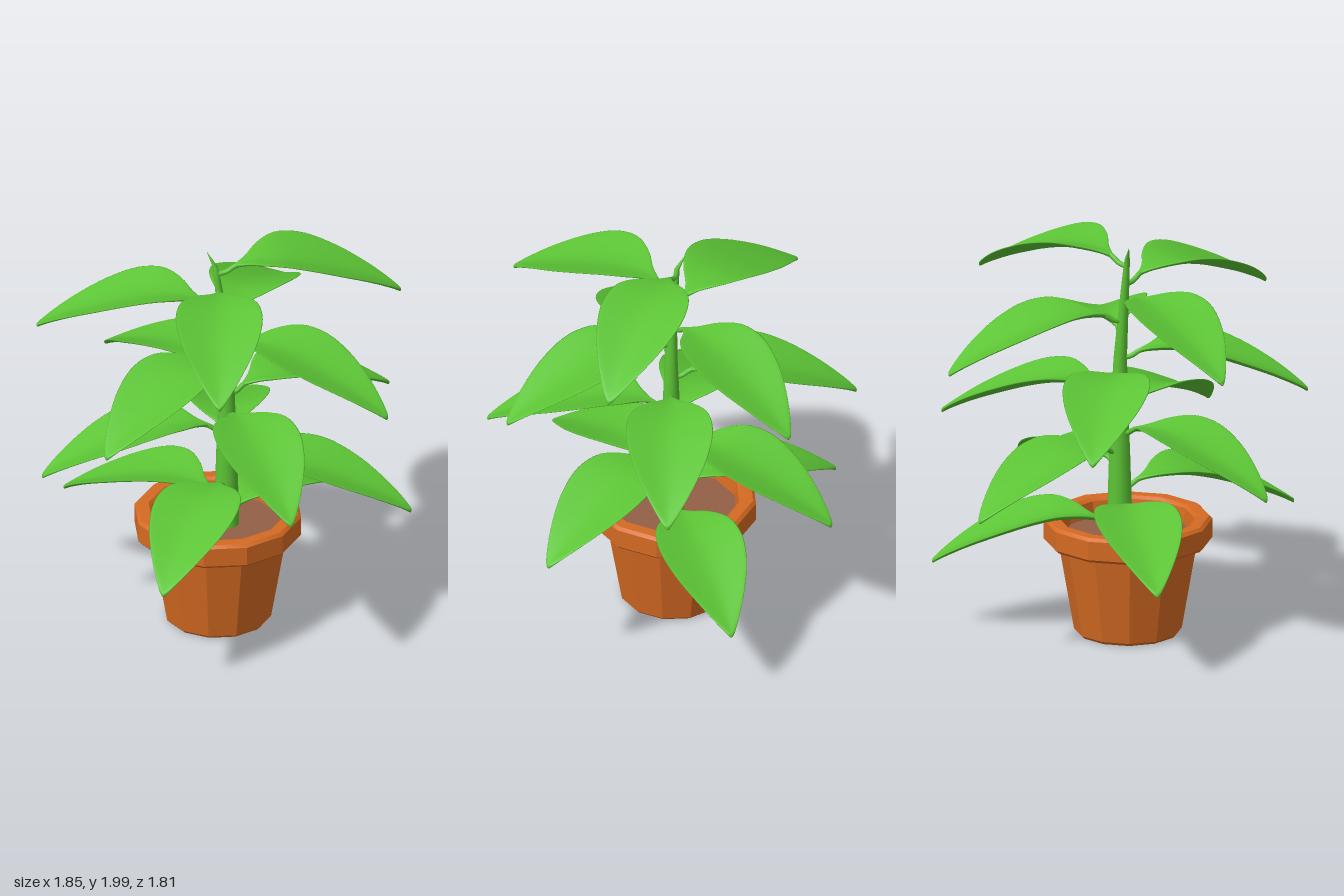
import * as THREE from 'three';
import { toCreasedNormals } from 'three/addons/utils/BufferGeometryUtils.js';

// Smooth skin over closed rings of equal point count.
function loft(rings) {
  const n = rings[0].length;
  const index = [];
  for (let i = 0; i < rings.length - 1; i++) {
    for (let j = 0; j < n; j++) {
      const k = (j + 1) % n;
      const a = i * n + j, b = i * n + k, d = a + n, c = b + n;
      index.push(a, b, d, c, d, b);
    }
  }
  const geo = new THREE.BufferGeometry().setFromPoints(rings.flat());
  geo.setIndex(index);
  geo.computeVertexNormals();
  return geo;
}

// The stem leans gently towards its top.
function stemCentre(y) {
  const s = Math.max(0, y - 1.35);
  return new THREE.Vector3(-0.063 * s, y, -0.13 * s * s);
}

function stemGeometry() {
  const stations = [[0.45, 0.062], [0.6, 0.061], [0.9, 0.052], [1.2, 0.041], [1.4, 0.033],
    [1.6, 0.026], [1.75, 0.021], [1.85, 0.017], [1.92, 0.013]];
  const ring = (c, r) => Array.from({ length: 12 }, (_, j) => {
    const a = j / 12 * Math.PI * 2;
    return new THREE.Vector3(c.x + r * Math.sin(a), c.y, c.z + r * Math.cos(a));
  });
  const rings = stations.map(([y, r]) => ring(stemCentre(y), r));
  rings.push(ring(new THREE.Vector3(-0.043, 1.99, -0.09), 0.001));
  return loft(rings);
}

// Arched blade with a shallow trough; heights are measured from its tip.
function bladeGeometry() {
  // x = reach, y = midrib height, z = half width
  const spine = new THREE.CatmullRomCurve3([
    [0.09, 0.208, 0.008], [0.15, 0.22, 0.05], [0.22, 0.227, 0.125], [0.32, 0.224, 0.19],
    [0.45, 0.195, 0.214], [0.6, 0.145, 0.187], [0.75, 0.087, 0.122], [0.87, 0.03, 0.05],
    [0.915, 0.004, 0.014], [0.922, 0, 0.001],
  ].map((p) => new THREE.Vector3(...p)));
  const rings = spine.getPoints(36).map((p) => {
    const w = Math.max(p.z, 0.001);
    const thick = Math.min(0.012, w);
    return Array.from({ length: 28 }, (_, j) => {
      const a = j / 28 * Math.PI * 2;
      const v = Math.sin(a);
      const fold = 0.28 * w * Math.pow(Math.abs(v), 1.5);
      return new THREE.Vector3(p.x, p.y + fold + thick * Math.cos(a), v * w);
    });
  });
  return loft(rings);
}

export function createModel() {
  const model = new THREE.Group();
  const mat = (name, color) => {
    const m = new THREE.MeshStandardMaterial({ color });
    m.name = name;
    return m;
  };
  const terracotta = mat('terracotta', 0xd56a22);
  const earth = mat('earth', 0x935f45);
  const green = mat('leafGreen', 0x5cc435);
  const add = (parent, name, geo, material) => {
    const mesh = new THREE.Mesh(geo, material);
    mesh.name = name;
    parent.add(mesh);
    return mesh;
  };

  // Twelve-sided pot with a bevelled rim, soil and base
  const pot = new THREE.Group();
  pot.name = 'pot';
  pot.position.set(-0.04, 0, -0.023);
  model.add(pot);
  const lathe = (pts) => toCreasedNormals(
    new THREE.LatheGeometry(pts.map((p) => new THREE.Vector2(...p)), 12), 0.4);
  add(pot, 'potBody', lathe([
    [0.25, 0], [0.265, 0.015], [0.342, 0.465], [0.4, 0.465], [0.415, 0.48], [0.415, 0.575],
    [0.4, 0.59], [0.345, 0.59], [0.33, 0.575], [0.315, 0.48],
  ]), terracotta);
  add(pot, 'potBase', lathe([[0, 0], [0.25, 0]]), earth);
  add(pot, 'soil', lathe([[0.32, 0.5], [0, 0.5]]), earth);

  add(model, 'stem', stemGeometry(), green);

  // Leaves spiral up the stem, 100 degrees and one even step apart
  const blade = bladeGeometry();
  const stalk = new THREE.TubeGeometry(new THREE.CatmullRomCurve3([
    [0, 0.17, 0], [0.05, 0.18, 0], [0.1, 0.21, 0], [0.2, 0.222, 0],
  ].map((p) => new THREE.Vector3(...p))), 14, 0.013, 8);
  for (let i = 0; i < 15; i++) {
    const leaf = new THREE.Group();
    leaf.name = 'leaf' + (i + 1);
    const tipHeight = 0.36 + 0.0965 * i;
    leaf.position.copy(stemCentre(tipHeight + 0.18));
    leaf.position.y = tipHeight;
    leaf.rotation.y = THREE.MathUtils.degToRad(100 * i);
    add(leaf, 'blade', blade, green);
    add(leaf, 'stalk', stalk, green);
    model.add(leaf);
  }
  return model;
}
